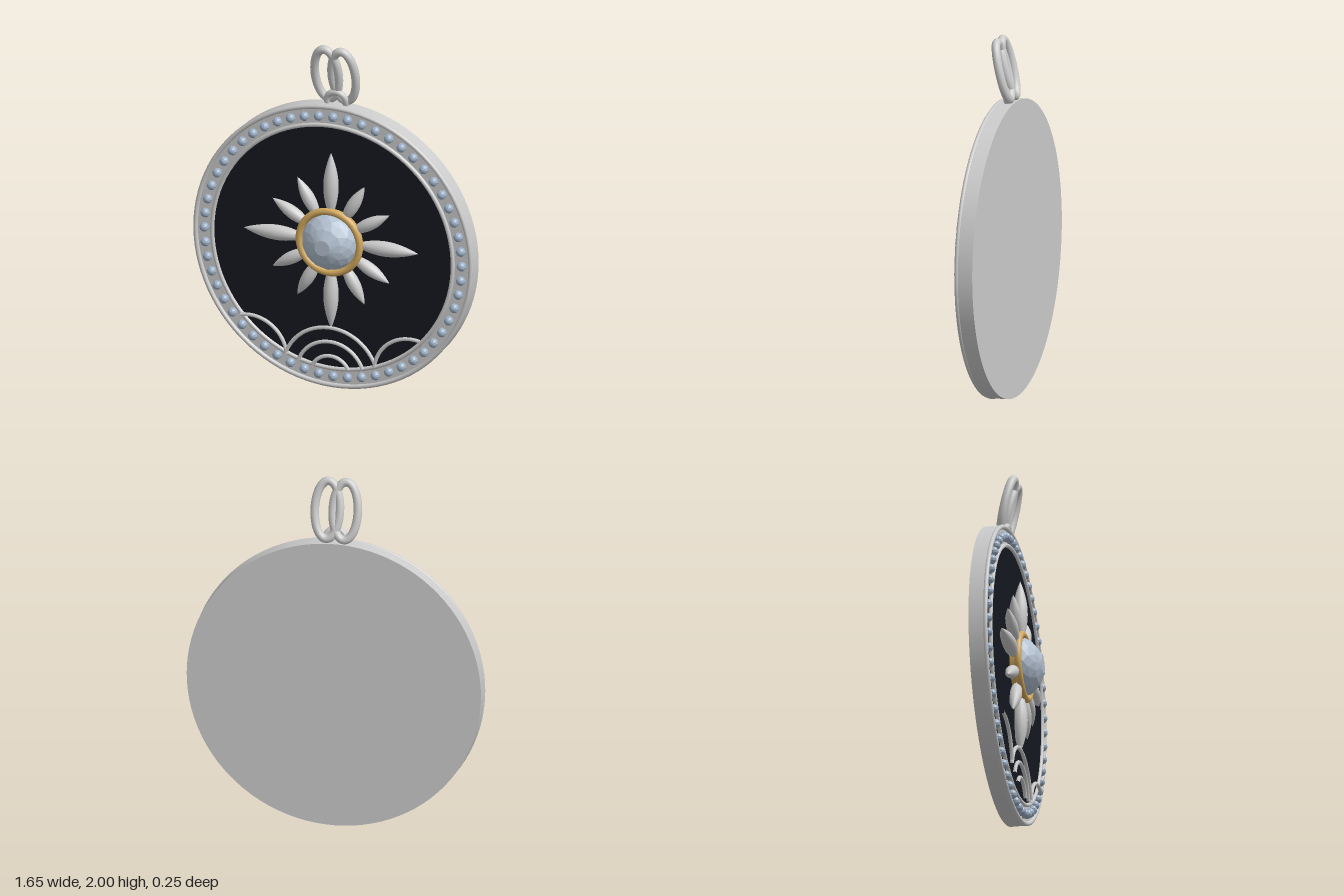
import * as THREE from 'three';

const CY = 0.826;      // centre height of the medallion
const SUN_Y = 0.872;   // centre height of the sunburst

const silver = new THREE.MeshStandardMaterial({ color: 0xcccccc });
const black = new THREE.MeshStandardMaterial({ color: 0x14181f });
const gold = new THREE.MeshStandardMaterial({ color: 0xd2a95f });
const crystal = new THREE.MeshStandardMaterial({ color: 0xb4c2d2, flatShading: true });
const beadBlue = new THREE.MeshStandardMaterial({ color: 0x9db0c6, flatShading: true });

function add(parent, name, geometry, material, x = 0, y = 0, z = 0) {
  const mesh = new THREE.Mesh(geometry, material);
  mesh.name = name;
  mesh.position.set(x, y, z);
  parent.add(mesh);
  return mesh;
}

// Disc facing +z
function disc(radius, depth) {
  return new THREE.CylinderGeometry(radius, radius, depth, 96).rotateX(Math.PI / 2);
}

// Pointed spindle lying along +y, from radius r0 to r1
function petalGeometry(r0, r1, width) {
  const points = [];
  for (let i = 0; i <= 14; i++) {
    const t = i / 14;
    const r = i === 0 || i === 14 ? 0 : width * Math.pow(Math.sin(Math.PI * t), 0.9);
    points.push(new THREE.Vector2(r, r0 + (r1 - r0) * t));
  }
  return new THREE.LatheGeometry(points, 16);
}

// Faceted dome: rings of points, every other ring turned by half a step
function gemGeometry(rings, sides) {
  const positions = [], index = [];
  rings.forEach(([r, z], k) => {
    for (let i = 0; i < sides; i++) {
      const a = ((i + k / 2) / sides) * Math.PI * 2;
      positions.push(r * Math.cos(a), r * Math.sin(a), z);
    }
  });
  for (let k = 0; k < rings.length - 1; k++) {
    for (let i = 0; i < sides; i++) {
      const j = (i + 1) % sides, a = k * sides, b = a + sides;
      index.push(a + i, a + j, b + i, a + j, b + j, b + i);
    }
  }
  const top = (rings.length - 1) * sides;
  for (let i = 1; i < sides - 1; i++) index.push(top, top + i, top + i + 1);
  const geometry = new THREE.BufferGeometry();
  geometry.setAttribute('position', new THREE.Float32BufferAttribute(positions, 3));
  geometry.setIndex(index);
  geometry.computeVertexNormals();
  return geometry;
}

// Wire arc, kept only where it lies inside the inner border
function waveGeometry(cx, cy, r) {
  const points = [];
  for (let i = 0; i <= 160; i++) {
    const a = (i / 160) * Math.PI;
    const x = cx + r * Math.cos(a), y = cy + r * Math.sin(a);
    if (Math.hypot(x, y - CY) < 0.702) points.push(new THREE.Vector3(x, y, 0.005));
  }
  return new THREE.TubeGeometry(new THREE.CatmullRomCurve3(points), 48, 0.011, 8);
}

// Closed oval ring of round wire
function ovalRing(halfWidth, halfHeight, wire) {
  const points = [];
  for (let i = 0; i < 24; i++) {
    const a = (i / 24) * Math.PI * 2;
    points.push(new THREE.Vector3(halfWidth * Math.cos(a), halfHeight * Math.sin(a), 0));
  }
  return new THREE.TubeGeometry(new THREE.CatmullRomCurve3(points, true), 64, wire, 12, true);
}

export function createModel() {
  const model = new THREE.Group();
  model.name = 'pendant';

  // Medallion body and dark inlay
  add(model, 'body', disc(0.82, 0.083), silver, 0, CY, -0.0835);
  add(model, 'inlay', disc(0.705, 0.02), black, 0, CY, -0.038);

  // Raised borders on both sides of the bead channel
  add(model, 'outerBorder', new THREE.TorusGeometry(0.811, 0.013, 10, 96), silver, 0, CY, -0.034);
  add(model, 'innerBorder', new THREE.TorusGeometry(0.709, 0.012, 10, 96), silver, 0, CY, -0.025);

  // Ring of small stones
  const beads = new THREE.Group();
  beads.name = 'beadRing';
  const beadGeometry = new THREE.SphereGeometry(0.027, 10, 8).rotateX(Math.PI / 2);
  const beadCount = 56;
  for (let i = 0; i < beadCount; i++) {
    const a = (i / beadCount) * Math.PI * 2;
    add(beads, 'bead', beadGeometry, beadBlue, 0.758 * Math.cos(a), CY + 0.758 * Math.sin(a), -0.031);
  }
  model.add(beads);

  // Sunburst: four long petals, eight short ones
  const sun = new THREE.Group();
  sun.name = 'sunburst';
  sun.position.y = SUN_Y;
  const longPetal = petalGeometry(0.12, 0.515, 0.042);
  const shortPetal = petalGeometry(0.12, 0.398, 0.036);
  for (let i = 0; i < 12; i++) {
    const petal = add(sun, 'petal', i % 3 === 0 ? longPetal : shortPetal, silver, 0, 0, -0.003);
    petal.rotation.z = (i * Math.PI) / 6;
  }
  add(sun, 'bezel', new THREE.TorusGeometry(0.178, 0.02, 12, 64), gold, 0, 0, 0.02);
  add(sun, 'bezelBase', disc(0.178, 0.06), gold, 0, 0, -0.01);
  const gemRings = [[0.16, 0.015], [0.155, 0.04], [0.138, 0.066], [0.102, 0.098], [0.045, 0.125]];
  add(sun, 'centreGem', gemGeometry(gemRings, 14), crystal);
  model.add(sun);

  // Wave arcs along the bottom
  const waves = new THREE.Group();
  waves.name = 'waves';
  for (const r of [0.282, 0.2, 0.117]) add(waves, 'centreWave', waveGeometry(0, 0.082, r), silver);
  for (const side of [-1, 1]) add(waves, 'sideWave', waveGeometry(side * 0.476, 0.15, 0.219), silver);
  model.add(waves);

  // Hanging loops, leaning forward at the top
  const bail = new THREE.Group();
  bail.name = 'bail';
  bail.position.set(0, 1.82, -0.063);
  bail.rotation.x = 0.23;
  const loop = ovalRing(0.07, 0.16, 0.024);
  for (const side of [-1, 1]) add(bail, 'hangingLoop', loop, silver, side * 0.05, 0, 0);
  add(bail, 'jumpRing', new THREE.TorusGeometry(0.056, 0.018, 12, 40), silver, 0, -0.158, 0.016);
  model.add(bail);

  return model;
}
